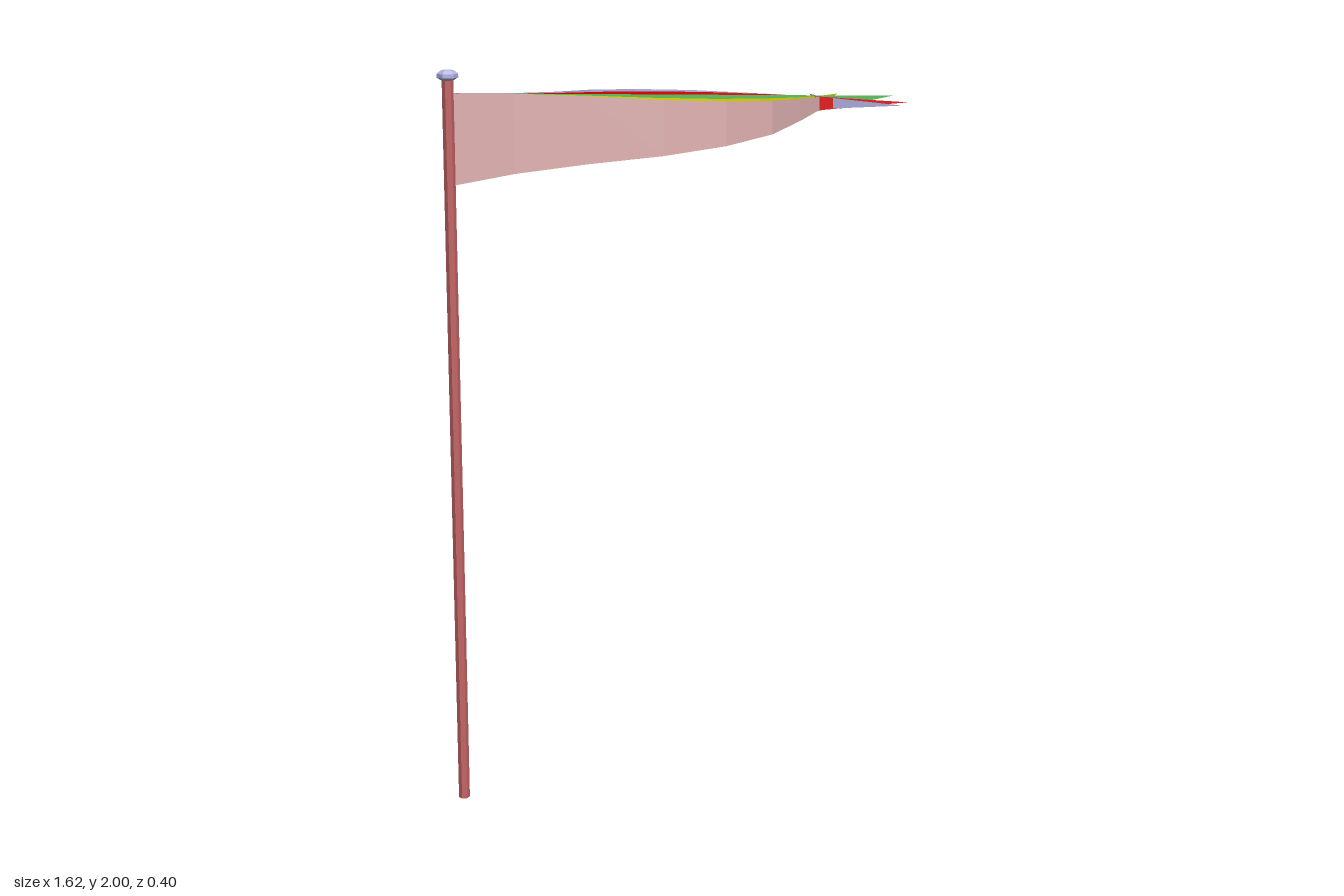
import * as THREE from 'three';

const POLE_X = -0.79;
const FLAG_Y = 1.82;
const HALF_HEIGHT = 0.12;

function material(color, side = THREE.FrontSide) {
  return new THREE.MeshStandardMaterial({ color, side, flatShading: true });
}

// Pennant that follows a path of [x, z] points and tapers to a tip along its length
function streamer(name, color, path, sign) {
  const points = path.map(([x, z]) => new THREE.Vector2(x, z * sign));
  const lengths = [0];
  for (let i = 1; i < points.length; i++) {
    lengths.push(lengths[i - 1] + points[i].distanceTo(points[i - 1]));
  }
  const total = lengths[lengths.length - 1];
  const positions = [];
  const index = [];
  points.forEach((p, i) => {
    const h = HALF_HEIGHT * (1 - lengths[i] / total);
    positions.push(p.x, FLAG_Y - h, p.y, p.x, FLAG_Y + h, p.y);
    if (i === 0) return;
    const a = 2 * (i - 1);
    index.push(a, a + 2, a + 1);
    if (i < points.length - 1) index.push(a + 1, a + 2, a + 3);
  });
  const geometry = new THREE.BufferGeometry();
  geometry.setAttribute('position', new THREE.Float32BufferAttribute(positions, 3));
  geometry.setIndex(index);
  geometry.computeVertexNormals();
  const mesh = new THREE.Mesh(geometry, material(color, THREE.DoubleSide));
  mesh.name = name;
  return mesh;
}

export function createModel() {
  const model = new THREE.Group();
  model.name = 'flagpoleWithStreamers';

  // Hexagonal pole
  const pole = new THREE.Mesh(new THREE.CylinderGeometry(0.015, 0.015, 1.98, 6), material(0xc46464));
  pole.name = 'pole';
  pole.position.set(POLE_X, 0.99, 0);
  model.add(pole);

  // Hexagonal cap with bevelled top and underside
  const profile = [[0, 1.974], [0.016, 1.974], [0.028, 1.981], [0.028, 1.991], [0.016, 2], [0, 2]];
  const cap = new THREE.Mesh(
    new THREE.LatheGeometry(profile.map(([r, y]) => new THREE.Vector2(r, y)), 6),
    material(0xb4b4e4)
  );
  cap.name = 'poleCap';
  cap.position.x = POLE_X;
  model.add(cap);

  // Streamers billow to either side, cross near the end and fan out at the tips
  const wide = [[-0.78, 0], [-0.59, 0.008], [-0.4, 0.07], [-0.21, 0.163], [-0.02, 0.2],
    [0.17, 0.175], [0.35, 0.09], [0.515, 0], [0.65, -0.2]];
  const narrow = [[-0.78, 0], [-0.59, 0.004], [-0.39, 0.04], [-0.2, 0.095], [0, 0.12],
    [0.18, 0.105], [0.36, 0.055], [0.49, 0], [0.72, -0.15]];
  const straight = [[-0.78, 0], [0.805, 0]];

  model.add(
    streamer('pinkStreamer', 0xe4b4b4, wide, 1),
    streamer('yellowStreamer', 0xdcdc00, narrow, 1),
    streamer('greenStreamer', 0x64c464, straight, 1),
    streamer('redStreamer', 0xe40000, narrow, -1),
    streamer('blueStreamer', 0xb4b4e4, wide, -1)
  );
  return model;
}
